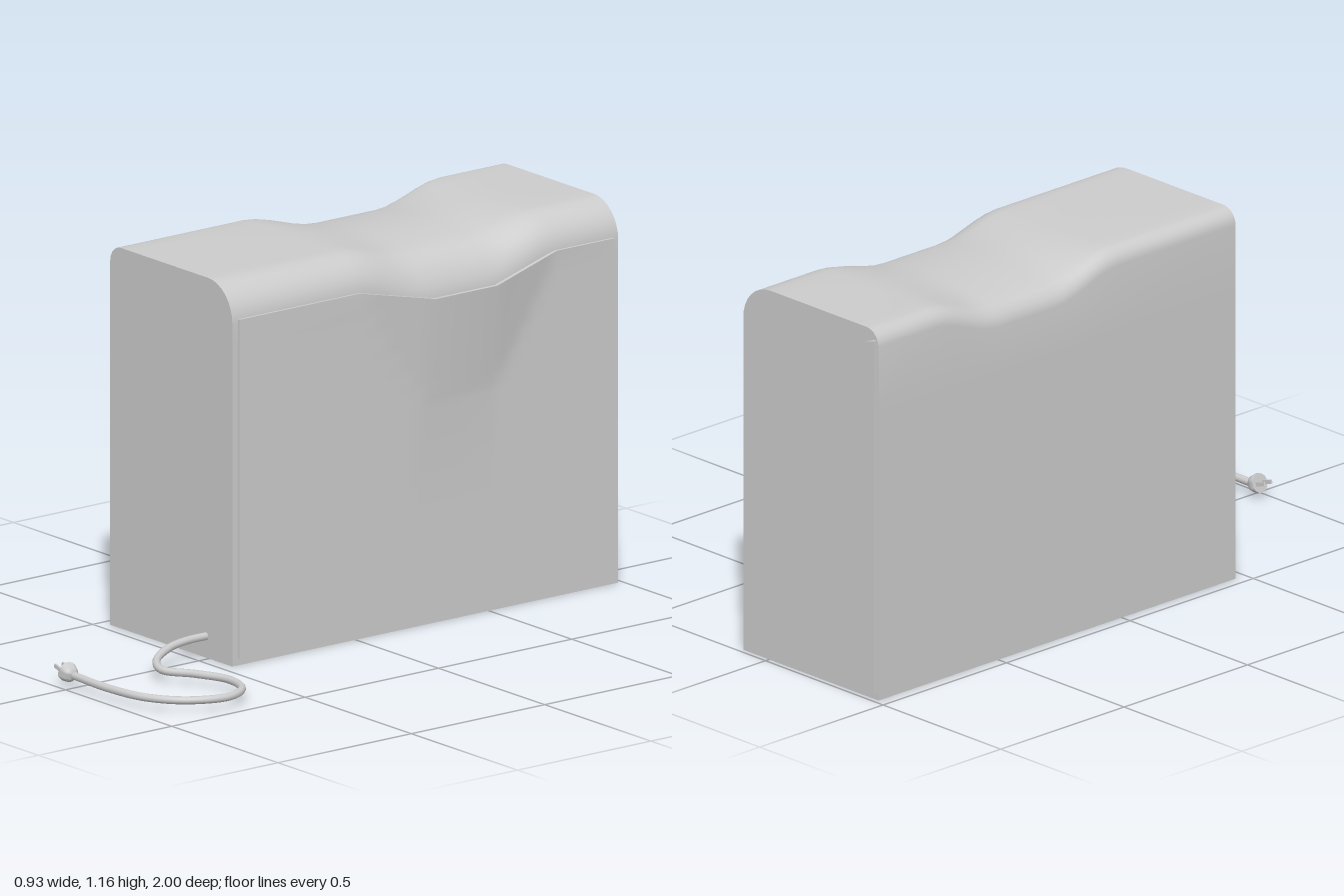
import * as THREE from 'three';
import { toCreasedNormals } from 'three/addons/utils/BufferGeometryUtils.js';

const mat = new THREE.MeshStandardMaterial({ color: 0xcccccc, side: THREE.DoubleSide });
const clamp = THREE.MathUtils.clamp;

// Amount of the hand-grip dip along the depth: ramps in, stays level, ramps out
const grip = (z) => clamp(Math.min((-0.01 - z) / 0.26, (z + 0.75) / 0.25), 0, 1);

// Depth stations from front to back, with the grip corners included
function stations(front, back) {
  const zs = [front];
  for (let i = 0; i <= 6; i++) zs.push(-0.01 - 0.26 * i / 6);
  zs.push(-0.385);
  for (let i = 0; i <= 6; i++) zs.push(-0.5 - 0.25 * i / 6);
  zs.push(back);
  return zs;
}

// Solid through closed sections (anticlockwise seen from the front)
function loft(zs, section, crease) {
  const rings = zs.map((z) => section(z).map(([x, y]) => [x, y, z]));
  const n = rings[0].length, pos = [];
  const tri = (a, b, c) => pos.push(...a, ...b, ...c);
  for (let i = 0; i < rings.length - 1; i++) {
    const f = rings[i], b = rings[i + 1];
    for (let j = 0; j < n; j++) {
      const k = (j + 1) % n;
      tri(f[j], b[j], b[k]);
      tri(f[j], b[k], f[k]);
    }
  }
  const first = rings[0], last = rings[rings.length - 1];
  for (let j = 1; j < n - 1; j++) {
    tri(first[0], first[j], first[j + 1]);
    tri(last[0], last[j + 1], last[j]);
  }
  const g = new THREE.BufferGeometry();
  g.setAttribute('position', new THREE.Float32BufferAttribute(pos, 3));
  return toCreasedNormals(g, crease);
}

// Body section: wide round on the panel side, small round on the other
function bodySection(z) {
  const p = [[-0.465, 0], [0.11, 0], [0.11, 0.9], [0.11, 0.98]];
  for (let i = 0; i <= 8; i++) {
    const a = Math.PI / 2 * i / 8;
    p.push([-0.005 + 0.115 * Math.cos(a), 1.045 + 0.115 * Math.sin(a)]);
  }
  for (let i = 1; i < 8; i++) p.push([-0.005 - 0.41 * i / 8, 1.16]);
  for (let i = 0; i <= 5; i++) {
    const a = Math.PI / 2 * (1 + i / 5);
    p.push([-0.415 + 0.05 * Math.cos(a), 1.11 + 0.05 * Math.sin(a)]);
  }
  p.push([-0.465, 0.9]);
  const w = grip(z), s = w * w * (3 - 2 * w);
  return p.map(([x, y]) => {
    const across = Math.min(1, Math.abs(x + 0.18) / 0.28);
    const dip = 0.025 + 0.04 * across * across;
    return [x, y - dip * s * clamp((y - 0.9) / 0.15, 0, 1)];
  });
}

// Side panel section: top edge drops and the upper part flares out at the grip
function panelSection(z) {
  const w = grip(z), top = 1.055 - 0.055 * w, outer = [], n = 16;
  const heights = [0.02, 0.35];
  for (let i = 0; i <= n; i++) heights.push(0.67 + (top - 0.67) * i / n);
  for (const y of heights) {
    const t = (y - 0.67) / (top - 0.67);
    outer.push([0.117 + 0.033 * clamp(w + t - 1, 0, 1), y]);
  }
  const inner = outer.map(([x, y]) => [x - 0.012, y]).reverse();
  return [...outer, ...inner];
}

export function createModel() {
  const model = new THREE.Group();
  const add = (name, geometry, parent = model) => {
    const m = new THREE.Mesh(geometry, mat);
    m.name = name;
    parent.add(m);
    return m;
  };

  add('body', loft(stations(0.462, -0.985), bodySection, 0.6));
  add('sidePanel', loft(stations(0.44, -0.965), panelSection, 0.4));

  // Thin raised strip on the back, with cut corners towards the middle
  const s = new THREE.Shape();
  s.moveTo(-0.46, 0.02);
  s.lineTo(-0.365, 0.11);
  s.quadraticCurveTo(-0.345, 0.13, -0.345, 0.17);
  s.lineTo(-0.345, 1.0);
  s.quadraticCurveTo(-0.345, 1.05, -0.365, 1.07);
  s.quadraticCurveTo(-0.4, 1.12, -0.46, 1.13);
  s.closePath();
  add('backStrip', new THREE.ExtrudeGeometry(s, { depth: 0.02, bevelEnabled: false }))
    .position.z = -0.998;

  // Power cable lying on the floor
  const path = new THREE.CatmullRomCurve3([
    [-0.015, 0.065, 0.45], [-0.014, 0.065, 0.53], [0, 0.06, 0.61], [0.04, 0.045, 0.69],
    [0.11, 0.036, 0.725], [0.2, 0.036, 0.675], [0.31, 0.036, 0.635], [0.41, 0.036, 0.665],
    [0.455, 0.036, 0.75], [0.41, 0.036, 0.87], [0.31, 0.036, 0.945], [0.16, 0.036, 0.97],
    [-0.01, 0.038, 0.968],
  ].map((p) => new THREE.Vector3(...p)));
  add('cable', new THREE.TubeGeometry(path, 80, 0.012, 10));

  // Plug: domed cap with a flat face and two prongs pointing along -x
  const plug = new THREE.Group();
  plug.name = 'plug';
  const dome = [[0, -0.026], [0.014, -0.024], [0.024, -0.014], [0.03, 0.004], [0.029, 0.014], [0, 0.014]]
    .map(([r, h]) => new THREE.Vector2(r, h));
  add('plugCap', toCreasedNormals(new THREE.LatheGeometry(dome, 20), 0.8), plug);
  for (const side of [-1, 1]) {
    add('prong', new THREE.BoxGeometry(0.012, 0.04, 0.006), plug).position.set(0, 0.03, side * 0.014);
  }
  plug.position.set(-0.022, 0.042, 0.97);
  plug.rotation.z = Math.PI / 2 - 0.3;
  model.add(plug);

  return model;
}
